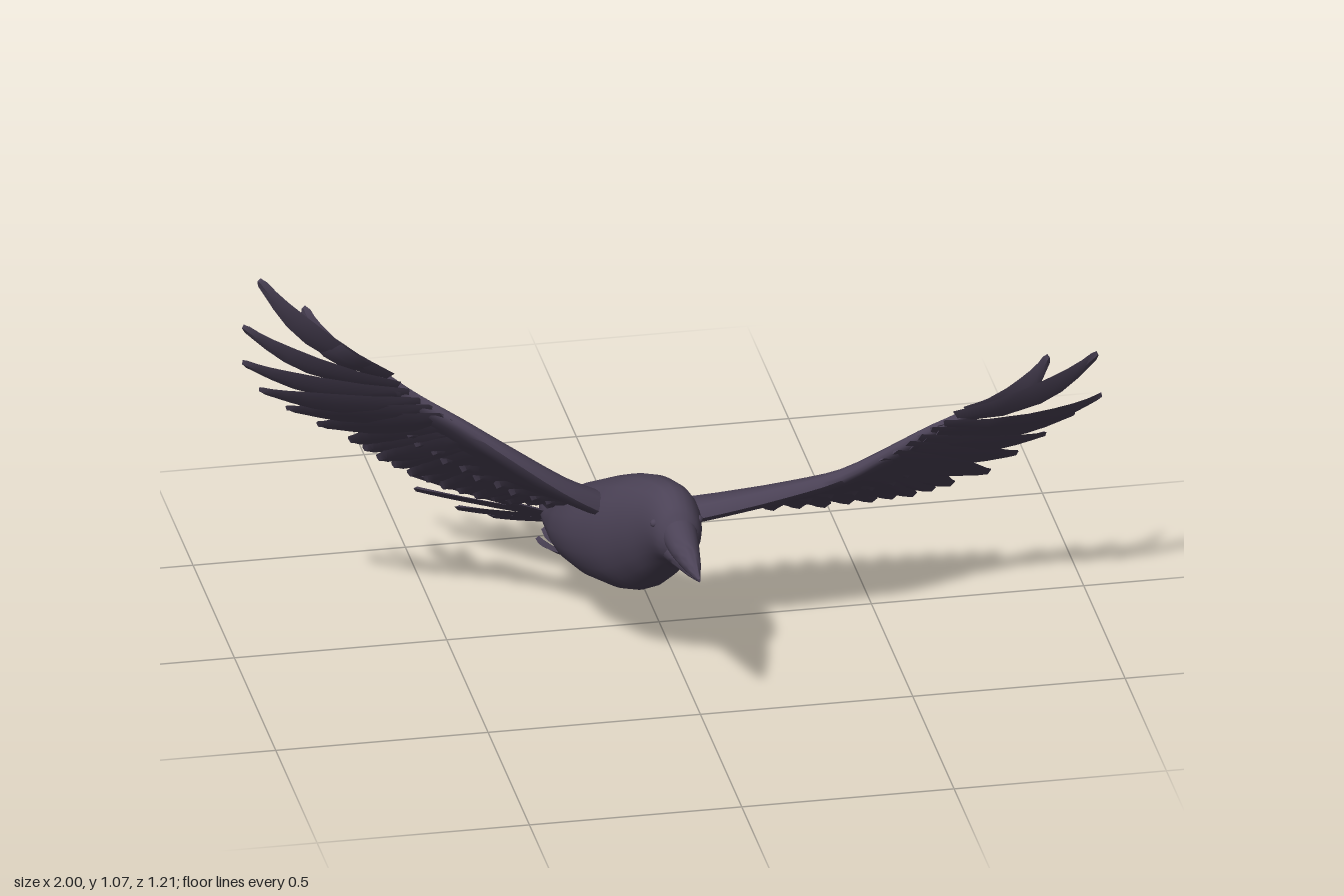
import * as THREE from 'three';
import { mergeGeometries, toCreasedNormals } from 'three/addons/utils/BufferGeometryUtils.js';

const V = (x, y, z) => new THREE.Vector3(x, y, z);
const mix = (a, b, t) => a.clone().lerp(b, t);
const curveOf = (pts) => new THREE.CatmullRomCurve3(pts.map((p) => V(...p)));

const plumage = new THREE.MeshStandardMaterial({ color: 0x4b4256, side: THREE.DoubleSide });
plumage.name = 'dark plumage';

// Skin a row of equal rings and close both ends
function loft(rings, crease = 0.9) {
  const n = rings[0].length, pos = [], idx = [];
  rings.forEach((r) => r.forEach((p) => pos.push(p.x, p.y, p.z)));
  for (let i = 0; i < rings.length - 1; i++) {
    for (let j = 0; j < n; j++) {
      const a = i * n + j, b = i * n + ((j + 1) % n);
      idx.push(a, b, a + n, b, b + n, a + n);
    }
  }
  const last = (rings.length - 1) * n;
  for (let j = 1; j < n - 1; j++) idx.push(0, j + 1, j, last, last + j, last + j + 1);
  const g = new THREE.BufferGeometry();
  g.setAttribute('position', new THREE.Float32BufferAttribute(pos, 3));
  g.setIndex(idx);
  return toCreasedNormals(g, crease);
}

// Stations are [x, z, top, bottom, halfWidth], running nose to tail
function bodyLoft(stations, steps) {
  const mid = curveOf(stations.map(([x, z, t, b]) => [x, (t + b) / 2, z]));
  const size = curveOf(stations.map(([, , t, b, w]) => [w, (t - b) / 2, 0]));
  const rings = [];
  for (let i = 0; i <= steps; i++) {
    const c = mid.getPoint(i / steps), s = size.getPoint(i / steps);
    rings.push(Array.from({ length: 20 }, (_, j) => {
      const a = (j / 20) * Math.PI * 2;
      return V(c.x + Math.cos(a) * s.x, c.y + Math.sin(a) * s.y, c.z);
    }));
  }
  return loft(rings);
}

// A thin bent vane with a raised shaft, broad along its length and narrow at a blunt tip
const VANE = [[0, 0.6], [0.25, 0.9], [0.5, 1], [0.66, 0.9], [0.8, 0.66], [0.9, 0.48], [0.97, 0.4], [1, 0.22]];
function feather(root, tip, width, normal, bend, lift = 0) {
  const dir = tip.clone().sub(root).normalize();
  const side = normal.clone().cross(dir).normalize();
  const up = dir.clone().cross(side).normalize();
  const path = new THREE.QuadraticBezierCurve3(
    root, mix(root, tip, 0.55).addScaledVector(up, -bend), tip);
  return loft(VANE.map(([t, k]) => {
    const c = path.getPoint(t).addScaledVector(up, lift), w = (width / 2) * k;
    return [
      c.clone().addScaledVector(side, w), c.clone().addScaledVector(up, 0.007),
      c.clone().addScaledVector(side, -w), c.clone().addScaledVector(up, -0.005),
    ];
  }), 0.5);
}

// Turn the general normal towards the local slope of a fan of feathers
function fanNormal(root, tip, tangent, normal) {
  const local = tip.clone().sub(root).normalize().cross(tangent);
  return normal.clone().addScaledVector(local, local.dot(normal) < 0 ? -1.5 : 1.5).normalize();
}

function makeWing(name, leadPts, tipPts, firstPrimary, normal) {
  const wing = new THREE.Group();
  wing.name = name;
  const lead = curveOf(leadPts), trail = curveOf(tipPts);
  const split = firstPrimary / (tipPts.length - 1), wrist = 0.6;
  const n = normal.clone().normalize();
  const add = (geo, part) => {
    const m = new THREE.Mesh(geo, plumage);
    m.name = part;
    wing.add(m);
  };
  // Matching place on the trailing edge for a place on the leading edge
  const tipAt = (t) => trail.getPoint(t < wrist
    ? (t / wrist) * split : split + ((t - wrist) / (1 - wrist)) * (1 - split));

  // Arm and hand as a cambered, tapering aerofoil
  const rings = [];
  for (let i = 0; i <= 18; i++) {
    const t = i / 18, L = lead.getPoint(t);
    const B = mix(L, tipAt(t), 0.58 - 0.38 * Math.pow(t, 1.5));
    const thick = 0.034 * (1 - t) + 0.007, camber = 0.022 * (1 - t);
    rings.push(Array.from({ length: 14 }, (_, j) => {
      const a = (j / 14) * Math.PI * 2, s = Math.pow((1 - Math.cos(a)) / 2, 1.4);
      const rise = Math.sin(a) * thick * (1 - 0.6 * s) + camber * Math.sin(s * Math.PI * 0.75);
      return mix(L, B, s).addScaledVector(n, rise);
    }));
  }
  add(loft(rings), 'wing arm');

  // Inner flight feathers, arched over the wing
  const inner = [];
  for (let i = 0; i < 13; i++) {
    const f = i / 13, L = lead.getPoint(0.06 + f * (wrist - 0.06));
    const tip = trail.getPoint(f * split), root = mix(L, tip, 0.12);
    const up = fanNormal(root, tip, trail.getTangent(f * split), n);
    inner.push(feather(root, tip, 0.09, up, -0.035 * (1 - f), -0.002 * (i % 2)));
  }
  add(mergeGeometries(inner), 'inner flight feathers');

  // Outer fingered feathers, curling up at the wing tip
  const fingers = tipPts.slice(firstPrimary).map((p, i, all) => {
    const f = i / (all.length - 1), tip = V(...p);
    const root = mix(lead.getPoint(wrist + f * (0.97 - wrist)), tip, 0.04);
    const up = fanNormal(root, tip, trail.getTangent((firstPrimary + i) / (tipPts.length - 1)), n);
    return feather(root, tip, 0.105 - 0.03 * f, up, 0.085 * f, -0.002 * (i % 2));
  });
  add(mergeGeometries(fingers), 'outer flight feathers');

  // Short feathers covering the flight feather bases, above and below
  const coverts = [];
  for (let i = 0; i < 15; i++) {
    const t = 0.06 + (i / 14) * 0.74, L = lead.getPoint(t), T = tipAt(t);
    const reach = (i % 2 ? 0.66 : 0.62) - 0.3 * t * t;
    for (const s of [1, -1]) {
      coverts.push(feather(mix(L, T, 0.1), mix(L, T, reach), 0.08, n, -0.03 * (1 - t), s * 0.006 + 0.008 * (1 - t)));
    }
  }
  add(mergeGeometries(coverts), 'covert feathers');
  return wing;
}

export function createModel() {
  const bird = new THREE.Group();
  bird.name = 'flying bird';
  const add = (geo, name) => {
    const m = new THREE.Mesh(geo, plumage);
    m.name = name;
    bird.add(m);
    return m;
  };

  // Head and body
  add(bodyLoft([
    [-0.034, 0.45, 0.468, 0.38, 0.034], [-0.036, 0.425, 0.502, 0.362, 0.053],
    [-0.042, 0.37, 0.53, 0.328, 0.07], [-0.06, 0.3, 0.525, 0.262, 0.092],
    [-0.085, 0.21, 0.495, 0.195, 0.118], [-0.11, 0.1, 0.44, 0.165, 0.135],
    [-0.13, 0, 0.385, 0.152, 0.128], [-0.15, -0.1, 0.325, 0.15, 0.1],
    [-0.168, -0.2, 0.28, 0.16, 0.075], [-0.185, -0.29, 0.232, 0.165, 0.04],
  ], 40), 'body');

  // Beak halves
  add(bodyLoft([
    [-0.036, 0.42, 0.49, 0.395, 0.043], [-0.033, 0.48, 0.462, 0.39, 0.034],
    [-0.028, 0.54, 0.437, 0.39, 0.021], [-0.022, 0.6, 0.403, 0.394, 0.003],
  ], 12), 'upper beak');
  add(bodyLoft([
    [-0.036, 0.42, 0.43, 0.36, 0.04], [-0.033, 0.48, 0.425, 0.372, 0.03],
    [-0.027, 0.54, 0.412, 0.38, 0.016], [-0.024, 0.585, 0.4, 0.39, 0.003],
  ], 12), 'lower beak');

  // Eyes
  for (const s of [1, -1]) {
    add(new THREE.SphereGeometry(0.01, 12, 8), 'eye').position.set(-0.038 + s * 0.052, 0.46, 0.405);
  }

  // Wings: leading edge, then feather tips from the body outwards
  bird.add(makeWing('right wing', [
    [-0.1, 0.37, 0.19], [-0.25, 0.475, 0.235], [-0.4, 0.59, 0.24],
    [-0.5, 0.66, 0.215], [-0.6, 0.72, 0.172], [-0.7, 0.795, 0.158],
  ], [
    [-0.21, 0.3, -0.04], [-0.32, 0.31, -0.065], [-0.42, 0.33, -0.08], [-0.52, 0.37, -0.09],
    [-0.62, 0.43, -0.085], [-0.71, 0.5, -0.075], [-0.79, 0.56, -0.055], [-0.87, 0.62, -0.03],
    [-0.94, 0.69, 0], [-0.99, 0.785, 0.045], [-1, 0.91, 0.11], [-0.98, 1.07, 0.205],
    [-0.87, 0.98, 0.18],
  ], 5, V(0.48, 0.63, -0.61)));
  bird.add(makeWing('left wing', [
    [-0.07, 0.35, 0.18], [0.1, 0.39, 0.215], [0.25, 0.42, 0.225], [0.38, 0.455, 0.235],
    [0.5, 0.495, 0.205], [0.6, 0.535, 0.188], [0.7, 0.58, 0.198],
  ], [
    [0, 0.25, -0.06], [0.12, 0.225, -0.1], [0.25, 0.22, -0.11], [0.38, 0.22, -0.1],
    [0.5, 0.23, -0.085], [0.6, 0.245, -0.065], [0.69, 0.28, -0.03], [0.77, 0.325, 0.01],
    [0.83, 0.385, 0.05], [0.89, 0.45, 0.09], [0.95, 0.52, 0.14], [1, 0.6, 0.215],
    [0.98, 0.73, 0.265], [0.87, 0.72, 0.235],
  ], 6, V(-0.19, 0.76, -0.62)));

  // Fanned tail
  const tailUp = V(0.25, 0.85, -0.42).normalize();
  const tailTips = [
    [-0.5, 0.235, -0.41], [-0.465, 0.125, -0.55], [-0.355, 0.045, -0.6], [-0.28, 0.035, -0.56],
    [-0.2, 0.01, -0.603], [-0.13, 0.03, -0.56], [-0.06, 0.04, -0.55], [0, 0.07, -0.48],
    [0.025, 0.1, -0.41],
  ];
  const tailEdge = curveOf(tailTips);
  add(mergeGeometries(tailTips.map((p, i) => {
    const root = V(-0.21 + i * 0.011, 0.23 - i * 0.004, -0.14), tip = V(...p);
    const up = fanNormal(root, tip, tailEdge.getTangent(i / 8), tailUp);
    return feather(root, tip, 0.115 - 0.009 * Math.abs(i - 4), up, 0.008, 0.002 * (i % 2));
  })), 'tail feathers');

  // Short feathers over and under the tail base
  const base = [];
  for (let i = 0; i < 7; i++) {
    const f = i / 6 - 0.5, z = -0.3 - 0.03 * (i % 2) + 0.12 * f * f;
    base.push(feather(V(-0.165 + f * 0.1, 0.262, -0.16), V(-0.195 + f * 0.14, 0.212 - f * 0.03, z), 0.05, tailUp, -0.01));
    base.push(feather(V(-0.155 + f * 0.1, 0.168, -0.06), V(-0.18 + f * 0.14, 0.157, z + 0.09), 0.05, tailUp, 0.01));
  }
  add(mergeGeometries(base), 'tail coverts');
  return bird;
}
